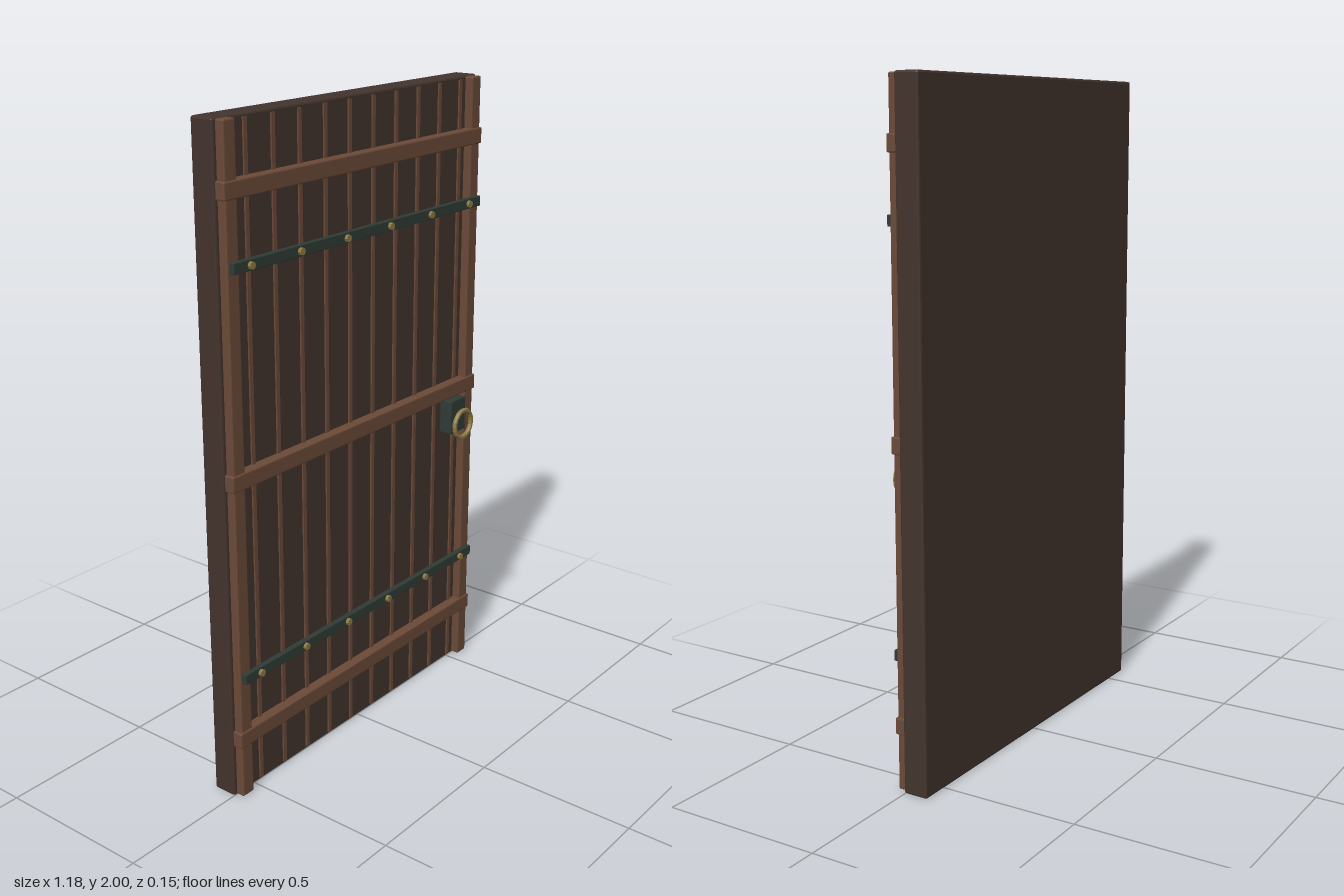
import * as THREE from 'three';
import { RoundedBoxGeometry } from 'three/addons/geometries/RoundedBoxGeometry.js';

const paint = (name, color, flatShading = false) => {
  const m = new THREE.MeshStandardMaterial({ color, flatShading });
  m.name = name;
  return m;
};

export function createModel() {
  const door = new THREE.Group();
  door.name = 'plankDoor';
  const darkWood = paint('darkWood', 0x43342d, true);
  const lightWood = paint('lightWood', 0x6b4a38, true);
  const iron = paint('iron', 0x2f3b36, true);
  const brass = paint('brass', 0x8f7a45, true);

  const add = (name, geometry, material, x, y, z) => {
    const mesh = new THREE.Mesh(geometry, material);
    mesh.name = name;
    mesh.position.set(x, y, z);
    door.add(mesh);
    return mesh;
  };
  // box given by its limits, with an optional small bevel
  const block = (name, material, [x0, x1], [y0, y1], [z0, z1], bevel = 0) => {
    const size = [x1 - x0, y1 - y0, z1 - z0];
    const geometry = bevel
      ? new RoundedBoxGeometry(...size, 1, bevel)
      : new THREE.BoxGeometry(...size);
    return add(name, geometry, material, (x0 + x1) / 2, (y0 + y1) / 2, (z0 + z1) / 2);
  };

  // main slab
  block('slab', darkWood, [-0.59, 0.59], [0, 2], [-0.075, 0.002], 0.006);

  // thin strips between the planks
  for (let i = 0; i < 10; i++) {
    const x = -0.472 + i * 0.1083;
    block('plankStrip', lightWood, [x - 0.007, x + 0.007], [0.01, 1.99], [0, 0.007]);
  }

  // upright stiles at both sides
  for (const s of [-1, 1]) {
    const limits = [s * 0.533, s * 0.578].sort((a, b) => a - b);
    block('stile', lightWood, limits, [0.003, 1.997], [-0.002, 0.029], 0.004);
  }

  // cross rails
  for (const y of [0.195, 1.005, 1.815]) {
    block('rail', lightWood, [-0.585, 0.585], [y - 0.025, y + 0.025], [-0.002, 0.033], 0.004);
  }

  // iron straps with brass studs
  const studGeometry = new THREE.CylinderGeometry(0.011, 0.011, 0.012, 8).rotateX(Math.PI / 2);
  for (const y of [0.398, 1.612]) {
    block('strap', iron, [-0.57, 0.57], [y - 0.016, y + 0.016], [0.027, 0.045], 0.002);
    for (let i = 0; i < 6; i++) add('stud', studGeometry, brass, -0.507 + i * 0.202, y, 0.049);
  }

  // handle plate and pull ring
  block('handlePlate', iron, [0.435, 0.515], [0.86, 0.973], [0, 0.046], 0.003);
  add('pullRing', new THREE.TorusGeometry(0.046, 0.008, 6, 20), brass, 0.475, 0.892, 0.065);

  return door;
}
